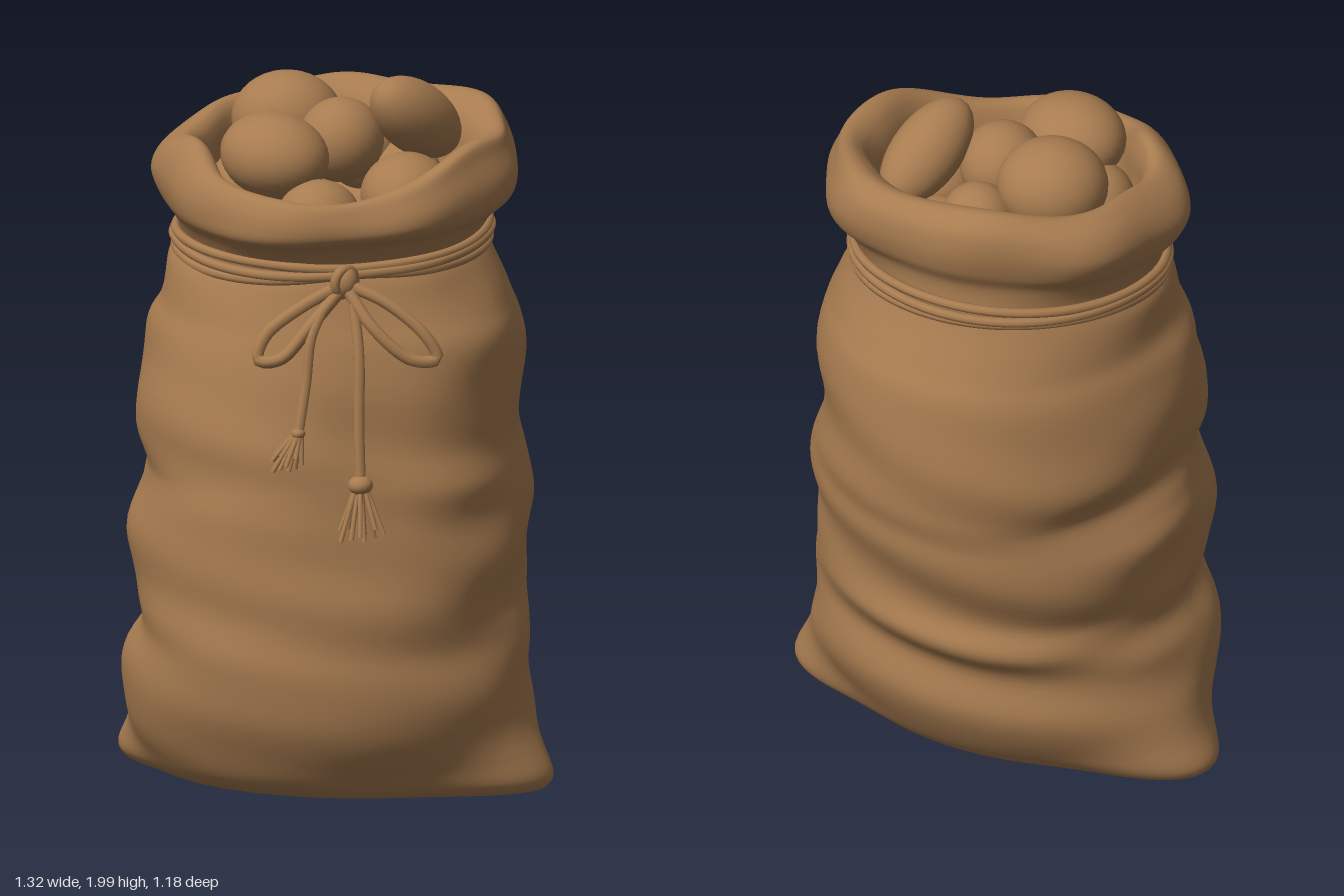
import * as THREE from 'three';

const burlap = new THREE.MeshStandardMaterial({ color: 0xa87c50 });
burlap.name = 'burlap brown';

// Sack profile rows, base to collar and down into the mouth: height, reach to -x, +x, +z, -z
const PROFILE = [
  [0, 0.46, 0.46, 0.34, 0.28], [0.03, 0.485, 0.485, 0.41, 0.34], [0.1, 0.51, 0.51, 0.465, 0.4],
  [0.24, 0.57, 0.575, 0.53, 0.47], [0.38, 0.56, 0.59, 0.55, 0.455],
  [0.48, 0.51, 0.575, 0.55, 0.51], [0.58, 0.53, 0.57, 0.545, 0.49],
  [0.76, 0.55, 0.58, 0.545, 0.555], [0.86, 0.52, 0.575, 0.54, 0.56],
  [0.94, 0.495, 0.565, 0.53, 0.575], [1.06, 0.53, 0.537, 0.52, 0.59],
  [1.28, 0.51, 0.555, 0.47, 0.57], [1.38, 0.465, 0.52, 0.44, 0.53],
  [1.49, 0.455, 0.46, 0.41, 0.475], [1.55, 0.425, 0.43, 0.39, 0.46],
  [1.62, 0.45, 0.47, 0.43, 0.46], [1.67, 0.49, 0.52, 0.48, 0.49],
  [1.73, 0.51, 0.525, 0.49, 0.505], [1.79, 0.48, 0.5, 0.485, 0.495],
  [1.83, 0.42, 0.48, 0.465, 0.45], [1.825, 0.38, 0.44, 0.43, 0.4],
  [1.77, 0.355, 0.4, 0.4, 0.35], [1.58, 0.32, 0.32, 0.32, 0.32],
  [1.58, 0, 0, 0, 0],
];
const LAST = PROFILE.length - 1, NECK = 14;
const { smoothstep } = THREE.MathUtils;

// Smooth value of one profile column at a fractional row
function sample(t, col) {
  t = Math.min(Math.max(t, 0), LAST);
  const i = Math.min(Math.floor(t), LAST - 1), f = t - i;
  const p = (k) => PROFILE[Math.min(Math.max(k, 0), LAST)][col];
  const a = p(i - 1), b = p(i), c = p(i + 1), d = p(i + 2);
  return b + 0.5 * f * (c - a + f * (2 * a - 5 * b + 4 * c - d + f * (3 * (b - c) + d - a)));
}

const bump = (a, centre, width) => {
  const d = Math.atan2(Math.sin(a - centre), Math.cos(a - centre)) / width;
  return Math.exp(-d * d);
};

// Point on the cloth at profile row t and angle a around the sack
function clothPoint(t, a) {
  const c = Math.cos(a), s = Math.sin(a), y0 = sample(t, 0);
  const body = t < NECK ? Math.sin((Math.PI * t) / NECK) : 0;
  const inside = 1 - smoothstep(t, NECK + 7, LAST);
  const collar = smoothstep(t, NECK, NECK + 3) * inside;
  const gathered = smoothstep(t, NECK - 3, NECK + 3) * inside;
  // folds sag away from the sides
  const tx = t + body * (0.75 * Math.abs(s) * (s > 0 ? 1 : 0.7) + 0.2 * Math.sin(3 * a + 1));
  const tz = t + body * 0.25 * Math.sin(2 * a);
  const k = 1
    + body * 0.013 * Math.sin(19 * y0 + 2.5 * Math.sin(2 * a) + a) * (0.45 + 0.55 * Math.abs(c))
    + body * 0.006 * Math.sin(31 * y0 - 3 * a)
    + collar * (0.018 * Math.sin(5 * a + 0.6) + 0.014 * Math.sin(8 * a + 2 + t * 0.4))
    // mouth sits off centre, and the cloth is pulled in behind the bow
    + gathered * (0.07 * bump(a, -0.64, 0.5) - 0.09 * bump(a, 2.5, 0.5))
    - 0.06 * bump(a, 0.98, 0.35) * smoothstep(y0, 0.5, 0.9) * (1 - collar);
  // pinched bottom corners
  const ear = 0.19 * Math.exp(-((y0 / 0.16) ** 2)) * bump(a, c > 0 ? -0.05 : Math.PI + 0.26, 0.47);
  const x = c * (sample(tx, c > 0 ? 2 : 1) * k + ear);
  const z = s * (sample(tz, s > 0 ? 3 : 4) * k + ear);
  // mouth leans forward and its rim waves
  const tilt = 0.17 * Math.max(0, (y0 - 1.1) / 0.73) ** 1.4;
  const rim = -0.045 * bump(a, 1.15, 0.45) + 0.04 * bump(a, 2.6, 0.35) + 0.025 * bump(a, 0.15, 0.4)
    + 0.008 * Math.sin(6 * a);
  const lift = rim * smoothstep(t, NECK + 1, NECK + 5) * collar;
  return new THREE.Vector3(x, Math.max(0, y0 - tilt * z + lift), z);
}

// Skin over closed rings of points
function loft(rings) {
  const n = rings[0].length, index = [];
  for (let i = 0; i < rings.length - 1; i++) {
    for (let j = 0; j < n; j++) {
      const a = i * n + j, b = i * n + ((j + 1) % n);
      index.push(a, a + n, b, b, a + n, b + n);
    }
  }
  const g = new THREE.BufferGeometry().setFromPoints(rings.flat());
  g.setIndex(index);
  g.computeVertexNormals();
  return g;
}

function add(parent, name, geometry) {
  const mesh = new THREE.Mesh(geometry, burlap);
  mesh.name = name;
  parent.add(mesh);
  return mesh;
}

function cord(parent, name, points, radius, closed = false, segments = 40) {
  const pts = points.map((p) => (p.isVector3 ? p : new THREE.Vector3(...p)));
  const curve = new THREE.CatmullRomCurve3(pts, closed);
  return add(parent, name, new THREE.TubeGeometry(curve, segments, radius, 8, closed));
}

function ball(parent, name, centre, radii, turn = [0, 0, 0]) {
  const mesh = add(parent, name, new THREE.SphereGeometry(1, 32, 20));
  mesh.position.set(...centre);
  mesh.scale.set(...radii);
  mesh.rotation.set(...turn);
}

// Bound end of a cord with a splayed fringe
function tassel(parent, name, top, end, spread, knob) {
  const group = new THREE.Group();
  group.name = name;
  parent.add(group);
  ball(group, 'tasselKnob', top, [knob, knob * 0.8, knob]);
  const count = 16;
  for (let i = 0; i < count; i++) {
    const a = i * 2.4, r = spread * Math.sqrt((i + 0.5) / count);
    const splay = [Math.cos(a) * r, 0.02 * Math.sin(i * 1.7), Math.sin(a) * r * 0.8];
    const at = (f) => top.map((v, k) => v + (end[k] - v) * f + splay[k] * (0.2 + 0.8 * f));
    cord(group, 'fringeStrand', [0, 0.35, 0.7, 1].map(at), 0.007, false, 8);
  }
}

export function createModel() {
  const model = new THREE.Group();
  model.name = 'sackOfPotatoes';

  // Cloth sack with rolled collar, and its flat base
  const around = 112, steps = LAST * 6;
  const rings = Array.from({ length: steps + 1 }, (_, i) =>
    Array.from({ length: around }, (_, j) => clothPoint((i / steps) * LAST, (j / around) * Math.PI * 2)));
  add(model, 'sackCloth', loft(rings));
  add(model, 'sackBase', loft([rings[0].map(() => new THREE.Vector3()), rings[0]]));

  // Potatoes: centre, radii, rotation
  ball(model, 'potato', [-0.16, 1.84, -0.115], [0.157, 0.135, 0.145], [0, 0.3, 0]);
  ball(model, 'potato', [0.215, 1.865, -0.145], [0.1, 0.1, 0.18], [-0.6, -0.28, -0.3]);
  ball(model, 'potato', [-0.08, 1.8, 0.19], [0.165, 0.12, 0.14], [0, -0.4, -0.1]);
  ball(model, 'potato', [0.035, 1.81, -0.03], [0.12, 0.12, 0.125]);
  ball(model, 'potato', [0.255, 1.68, 0.03], [0.13, 0.12, 0.155], [0, 0.3, 0]);
  ball(model, 'potato', [0.08, 1.64, 0.26], [0.12, 0.115, 0.125]);
  ball(model, 'potato', [0.02, 1.74, -0.225], [0.105, 0.11, 0.1]);
  ball(model, 'potato', [-0.2, 1.68, 0.09], [0.11, 0.11, 0.11]);
  ball(model, 'potato', [0.13, 1.68, -0.24], [0.12, 0.1, 0.1]);

  // Cord wound three times around the neck
  const tie = new THREE.Group();
  tie.name = 'neckTie';
  model.add(tie);
  for (let i = 0; i < 3; i++) {
    const out = i === 1 ? 0.018 : 0.012;
    const loop = Array.from({ length: 36 }, (_, j) => {
      const a = (j / 36) * Math.PI * 2, p = clothPoint(NECK, a);
      const lift = (i - 1) * 0.023 * (1 - 0.5 * bump(a, 1.1, 0.4)) + 0.006 * Math.sin(2 * a + i * 2);
      return p.add(new THREE.Vector3(Math.cos(a) * out, lift - 0.008, Math.sin(a) * out));
    });
    cord(tie, 'neckCord', loop, 0.014, true, 100);
  }

  // Knot and bow loops
  ball(tie, 'bowKnot', [0.2, 1.495, 0.365], [0.036, 0.045, 0.036]);
  const wrap = add(tie, 'knotWrap', new THREE.TorusGeometry(0.036, 0.015, 8, 24));
  wrap.position.set(0.2, 1.495, 0.37);
  wrap.rotation.set(0.2, 1.1, 0);
  cord(tie, 'bowLoop', [[0.2, 1.49, 0.37], [0.1, 1.43, 0.445], [0.01, 1.35, 0.495], [-0.005, 1.285, 0.515],
    [0.06, 1.29, 0.51], [0.13, 1.38, 0.455], [0.2, 1.485, 0.37]], 0.018);
  cord(tie, 'bowLoop', [[0.2, 1.49, 0.37], [0.32, 1.44, 0.355], [0.43, 1.35, 0.335], [0.46, 1.285, 0.325],
    [0.4, 1.285, 0.365], [0.3, 1.37, 0.395], [0.2, 1.485, 0.37]], 0.018);

  // Hanging tails and tassels
  cord(tie, 'cordTail', [[0.18, 1.48, 0.38], [0.14, 1.36, 0.465], [0.13, 1.22, 0.49], [0.12, 1.08, 0.525]], 0.015);
  tassel(tie, 'shortTassel', [0.12, 1.085, 0.525], [0.09, 1.0, 0.545], 0.05, 0.02);
  cord(tie, 'cordTail', [[0.22, 1.48, 0.37], [0.26, 1.3, 0.415], [0.27, 1.1, 0.44], [0.28, 0.94, 0.455]], 0.016);
  tassel(tie, 'longTassel', [0.28, 0.935, 0.455], [0.285, 0.8, 0.47], 0.075, 0.035);

  return model;
}
